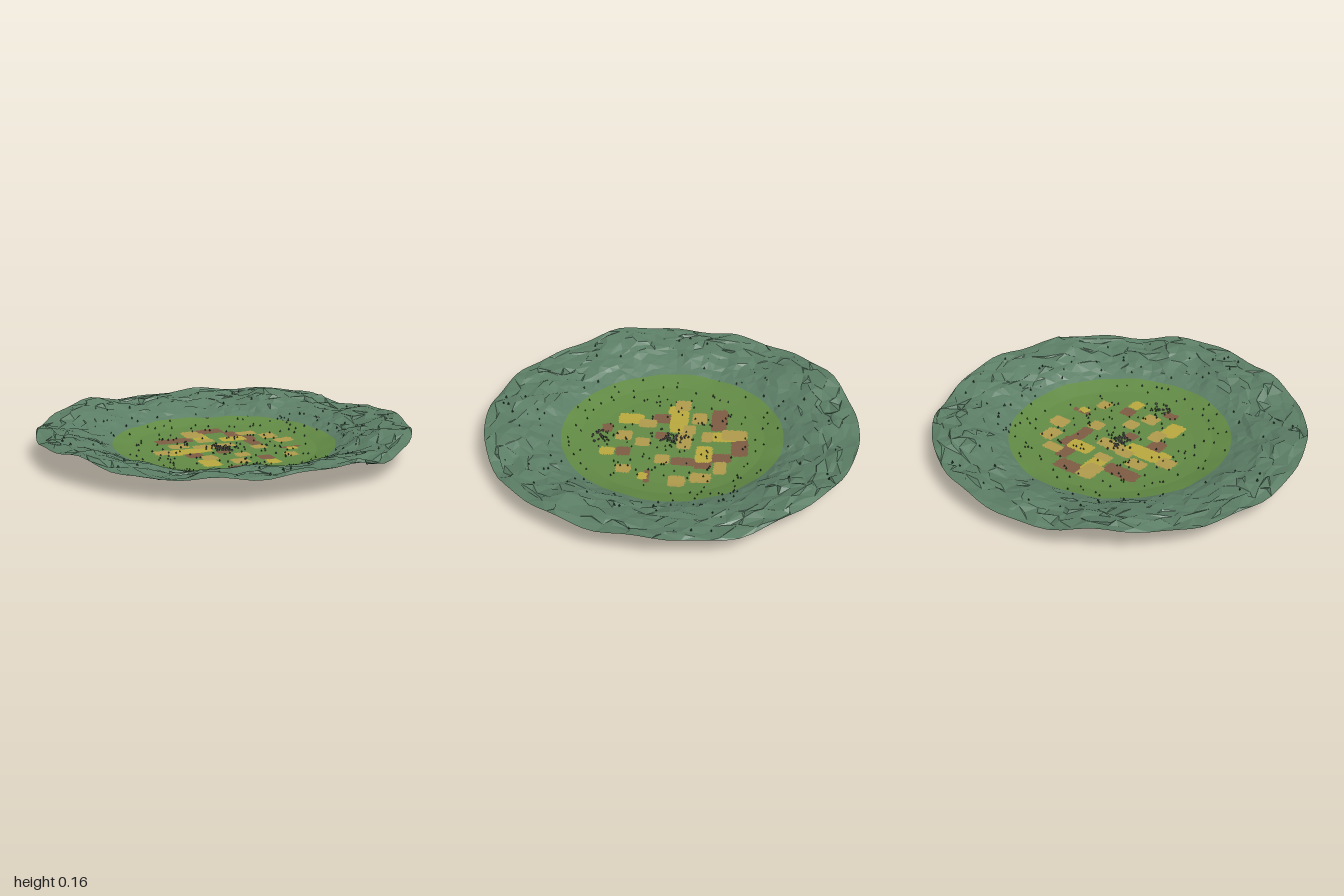
import * as THREE from 'three';

const mat = (name, color) => Object.assign(
  new THREE.MeshStandardMaterial({ color, flatShading: true, side: THREE.DoubleSide }), { name });

// seeded random numbers
function seeded(seed) {
  return () => {
    seed = (seed * 1664525 + 1013904223) % 4294967296;
    return seed / 4294967296;
  };
}

// bowl profile: radius, height
const PROFILE = [[0, 0.01], [0.4, 0.012], [0.5, 0.022], [0.6, 0.05], [0.7, 0.09], [0.8, 0.115], [0.9, 0.13], [1.01, 0.13]];

function height(x, z) {
  const r = Math.min(Math.hypot(x, z), 1);
  const a = Math.atan2(z, x);
  const i = Math.max(1, PROFILE.findIndex(p => p[0] >= r));
  const [r0, y0] = PROFILE[i - 1], [r1, y1] = PROFILE[i];
  const base = y0 + (y1 - y0) * (r - r0) / (r1 - r0);
  const hills = THREE.MathUtils.smoothstep(r, 0.45, 0.9);
  const waves = 0.014 * Math.sin(5 * a + 3 * r) + 0.01 * Math.sin(9 * a + 1.3 - 7 * r) + 0.008 * Math.sin(17 * a + 9 * r);
  return base + hills * waves + 0.003 * Math.sin(9 * x) * Math.sin(8 * z + 1);
}

// field patches: x, z, length, depth, all turned to the same angle
const TURN = 0.56;
const FIELDS = {
  tan: [[-0.23, -0.25, 0.1, 0.14], [0.06, -0.36, 0.11, 0.07], [0.19, -0.33, 0.09, 0.11], [0.29, -0.25, 0.1, 0.09],
    [-0.13, -0.14, 0.1, 0.06], [0.18, -0.07, 0.08, 0.08], [0.37, 0.04, 0.07, 0.08], [-0.03, -0.06, 0.16, 0.08],
    [-0.25, 0.0, 0.11, 0.08], [-0.13, -0.02, 0.09, 0.07], [-0.3, 0.15, 0.1, 0.09], [-0.04, 0.2, 0.08, 0.1],
    [0.12, 0.11, 0.08, 0.08], [0.13, 0.23, 0.09, 0.09]],
  yellow: [[-0.18, -0.21, 0.09, 0.15], [0.01, -0.22, 0.15, 0.09], [0.36, -0.08, 0.06, 0.05], [-0.17, 0.08, 0.2, 0.1],
    [-0.24, 0.15, 0.08, 0.09], [-0.02, 0.3, 0.1, 0.14], [0.3, 0.21, 0.07, 0.08], [-0.1, 0.04, 0.08, 0.08]],
  brown: [[-0.3, -0.1, 0.21, 0.09], [-0.15, -0.34, 0.16, 0.09], [-0.01, -0.31, 0.08, 0.12], [0.13, -0.17, 0.07, 0.13],
    [0.35, -0.1, 0.11, 0.03], [-0.13, 0.16, 0.09, 0.11], [0.01, 0.07, 0.07, 0.06], [0.25, 0.14, 0.08, 0.08],
    [0.13, 0.35, 0.08, 0.06], [0.09, -0.27, 0.07, 0.09]],
};

function fieldAt(x, z) {
  const c = Math.cos(TURN), s = Math.sin(TURN);
  for (const kind in FIELDS) {
    for (const [fx, fz, w, d] of FIELDS[kind]) {
      const u = (x - fx) * c - (z - fz) * s;
      const v = (x - fx) * s + (z - fz) * c;
      // rounded rectangle
      if ((2 * u / w) ** 6 + (2 * v / d) ** 6 < 1) return kind;
    }
  }
  return 'meadow';
}

// polar grid between two radii; point(i, j) gives a vertex, sort(x, z) the kind of each face
function polarSheet(rings, segments, point, sort) {
  const faces = {};
  const add = (a, b, c) => {
    const kind = sort((a[0] + b[0] + c[0]) / 3, (a[2] + b[2] + c[2]) / 3);
    (faces[kind] ??= []).push(...a, ...b, ...c);
  };
  for (let i = 0; i < rings; i++) {
    for (let j = 0; j < segments; j++) {
      const k = (j + 1) % segments;
      const a = point(i, j), b = point(i + 1, j), c = point(i + 1, k), d = point(i, k);
      if ((i + j) % 2) {
        add(a, c, b);
        add(a, d, c);
      } else {
        add(a, d, b);
        add(b, d, c);
      }
    }
  }
  return faces;
}

export function createModel() {
  const model = new THREE.Group();
  model.name = 'valley';
  const materials = {
    hills: mat('hill green', 0x5c7e66),
    meadow: mat('meadow green', 0x628a45),
    tan: mat('wheat tan', 0xb09a4c),
    yellow: mat('crop yellow', 0xbaa93f),
    brown: mat('soil brown', 0x7e5c43),
    tree: mat('tree green', 0x2c4030),
    stone: mat('house grey', 0x6e6a66),
  };

  const addFaces = (faces, names) => {
    for (const kind in faces) {
      const geometry = new THREE.BufferGeometry();
      geometry.setAttribute('position', new THREE.Float32BufferAttribute(faces[kind], 3));
      geometry.computeVertexNormals();
      const mesh = new THREE.Mesh(geometry, materials[kind]);
      mesh.name = names[kind];
      model.add(mesh);
    }
  };

  // valley floor with its fields
  const floorPoint = (i, j) => {
    const r = 0.6 * i / 60, a = j / 180 * Math.PI * 2;
    const x = r * Math.cos(a), z = r * Math.sin(a);
    return [x, height(x, z), z];
  };
  addFaces(polarSheet(60, 180, floorPoint, fieldAt),
    { meadow: 'meadow', tan: 'wheatFields', yellow: 'cropFields', brown: 'ploughedFields' });

  // crumpled hills around it, with a round rim
  const random = seeded(7);
  const RINGS = 11, SEGMENTS = 90;
  const hillPoints = [];
  for (let i = 0; i <= RINGS; i++) {
    const t = i / RINGS;
    const rough = i === 0 || i === RINGS ? 0 : THREE.MathUtils.lerp(0.012, 0.034, t);
    for (let j = 0; j < SEGMENTS; j++) {
      const a = j / SEGMENTS * Math.PI * 2 + (random() - 0.5) * rough * 2.2;
      const r = Math.min(0.995, 0.6 + 0.4 * t + (random() - 0.5) * rough * 1.7);
      const radius = i === RINGS ? 1 : r;
      const x = radius * Math.cos(a), z = radius * Math.sin(a);
      hillPoints.push([x, height(x, z) + (random() - 0.5) * rough * 0.8, z]);
    }
  }
  addFaces(polarSheet(RINGS, SEGMENTS, (i, j) => hillPoints[i * SEGMENTS + j], () => 'hills'), { hills: 'hills' });

  // scattered small things standing on the ground
  const scatter = (name, geometry, material, count, place) => {
    const group = new THREE.Group();
    group.name = name;
    for (let n = 0; n < count; n++) {
      const [x, z] = place();
      const mesh = new THREE.Mesh(geometry, material);
      mesh.position.set(x, height(x, z) + 0.004, z);
      mesh.rotation.y = random() * Math.PI;
      mesh.scale.setScalar(0.8 + random() * 0.5);
      group.add(mesh);
    }
    model.add(group);
  };
  const around = (cx, cz, near, far) => () => {
    const a = random() * Math.PI * 2, r = near + (far - near) * random();
    return [cx + r * Math.cos(a), cz + r * Math.sin(a)];
  };
  const tree = new THREE.ConeGeometry(0.005, 0.012, 5);
  const house = new THREE.BoxGeometry(0.009, 0.008, 0.007);
  scatter('trees', tree, materials.tree, 190, around(0, 0, 0.2, 0.75));
  scatter('hillTrees', tree, materials.tree, 40, around(0, 0, 0.7, 0.95));
  scatter('villageTrees', tree, materials.tree, 40, around(0, 0, 0.01, 0.13));
  scatter('villageHouses', house, materials.stone, 24, around(0, 0, 0.01, 0.07));
  scatter('hamletTrees', tree, materials.tree, 12, around(0.22, 0.31, 0, 0.07));
  scatter('hamletHouses', house, materials.stone, 10, around(0.22, 0.32, 0, 0.06));
  return model;
}
